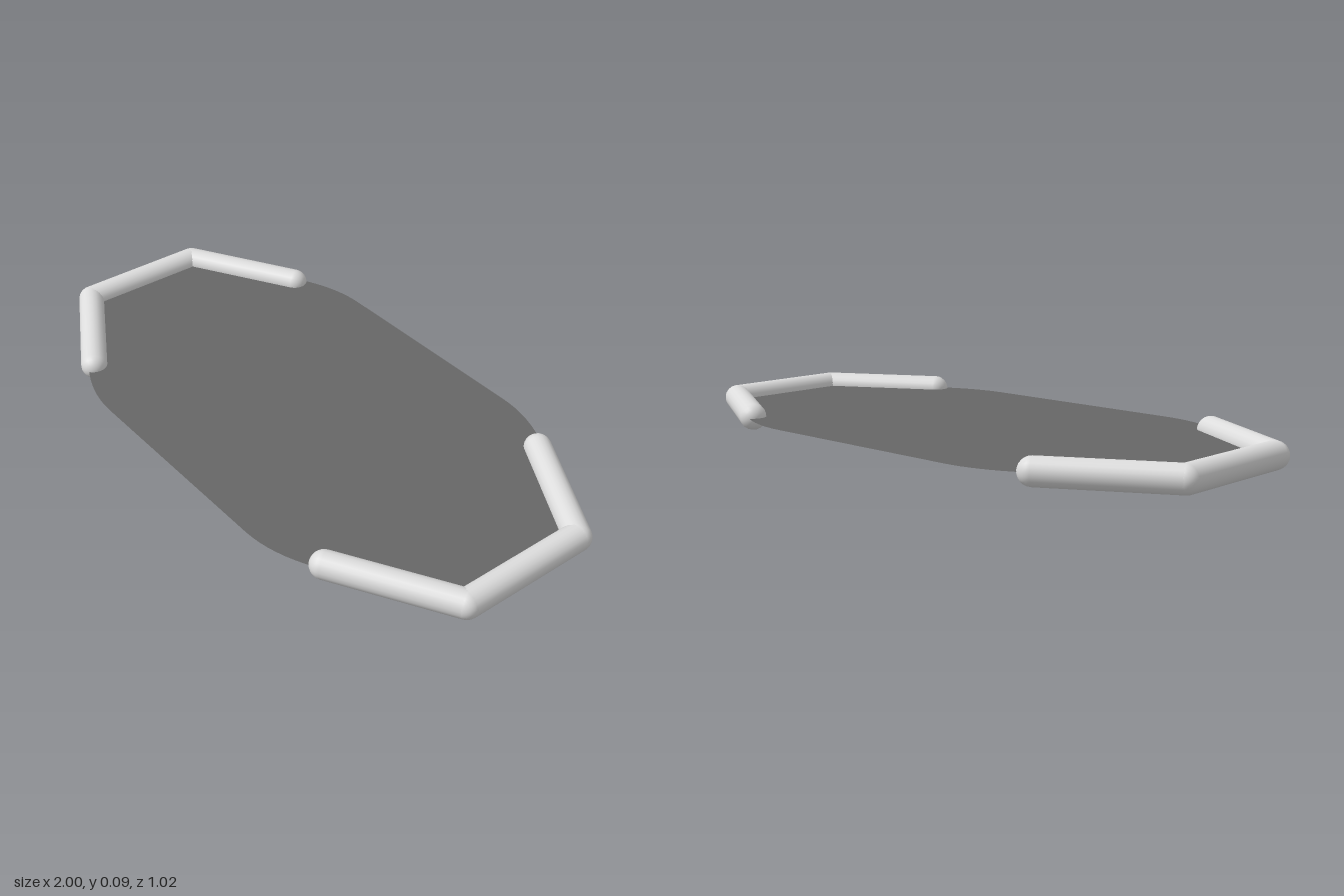
import * as THREE from 'three';

export function createModel() {
  const model = new THREE.Group();
  const railMaterial = new THREE.MeshStandardMaterial({ color: 0xdcdcdc });
  railMaterial.name = 'light grey';
  const floorMaterial = new THREE.MeshStandardMaterial({ color: 0x666666, side: THREE.DoubleSide });
  floorMaterial.name = 'dark grey';

  const radius = 0.043;
  const midY = 0.0435;

  // Round-ended rail between two [x, z] points
  function rail(name, [x1, z1], [x2, z2]) {
    const a = new THREE.Vector3(x1, midY, z1);
    const b = new THREE.Vector3(x2, midY, z2);
    const mesh = new THREE.Mesh(new THREE.CapsuleGeometry(radius, a.distanceTo(b), 6, 20), railMaterial);
    mesh.name = name;
    mesh.position.copy(a).add(b).multiplyScalar(0.5);
    mesh.quaternion.setFromUnitVectors(new THREE.Vector3(0, 1, 0), b.sub(a).normalize());
    return mesh;
  }

  // A three-sided bumper at each end
  const corner = [0.957, 0.213];
  const tip = [0.604, 0.417];
  for (const s of [-1, 1]) {
    const bumper = new THREE.Group();
    bumper.name = s > 0 ? 'leftBumper' : 'rightBumper';
    bumper.add(rail('endRail', [s * corner[0], -corner[1]], [s * corner[0], corner[1]]));
    for (const t of [-1, 1]) {
      bumper.add(rail(t > 0 ? 'frontRail' : 'backRail',
        [s * corner[0], t * corner[1]], [s * tip[0], t * tip[1]]));
    }
    model.add(bumper);
  }

  // Thin floor sheet with softened corners at the open sides
  const half = 0.508;
  const outline = new THREE.Shape();
  outline.moveTo(-corner[0], -corner[1]);
  outline.lineTo(-0.6, -0.44);
  outline.quadraticCurveTo(-0.48, -half, -0.36, -half);
  outline.lineTo(0.36, -half);
  outline.quadraticCurveTo(0.48, -half, 0.6, -0.44);
  outline.lineTo(corner[0], -corner[1]);
  outline.lineTo(corner[0], corner[1]);
  outline.lineTo(0.6, 0.44);
  outline.quadraticCurveTo(0.48, half, 0.36, half);
  outline.lineTo(-0.36, half);
  outline.quadraticCurveTo(-0.48, half, -0.6, 0.44);
  outline.lineTo(-corner[0], corner[1]);
  outline.closePath();
  const floor = new THREE.Mesh(new THREE.ShapeGeometry(outline, 8), floorMaterial);
  floor.name = 'floor';
  floor.rotation.x = -Math.PI / 2;
  floor.position.y = midY;
  model.add(floor);

  return model;
}
